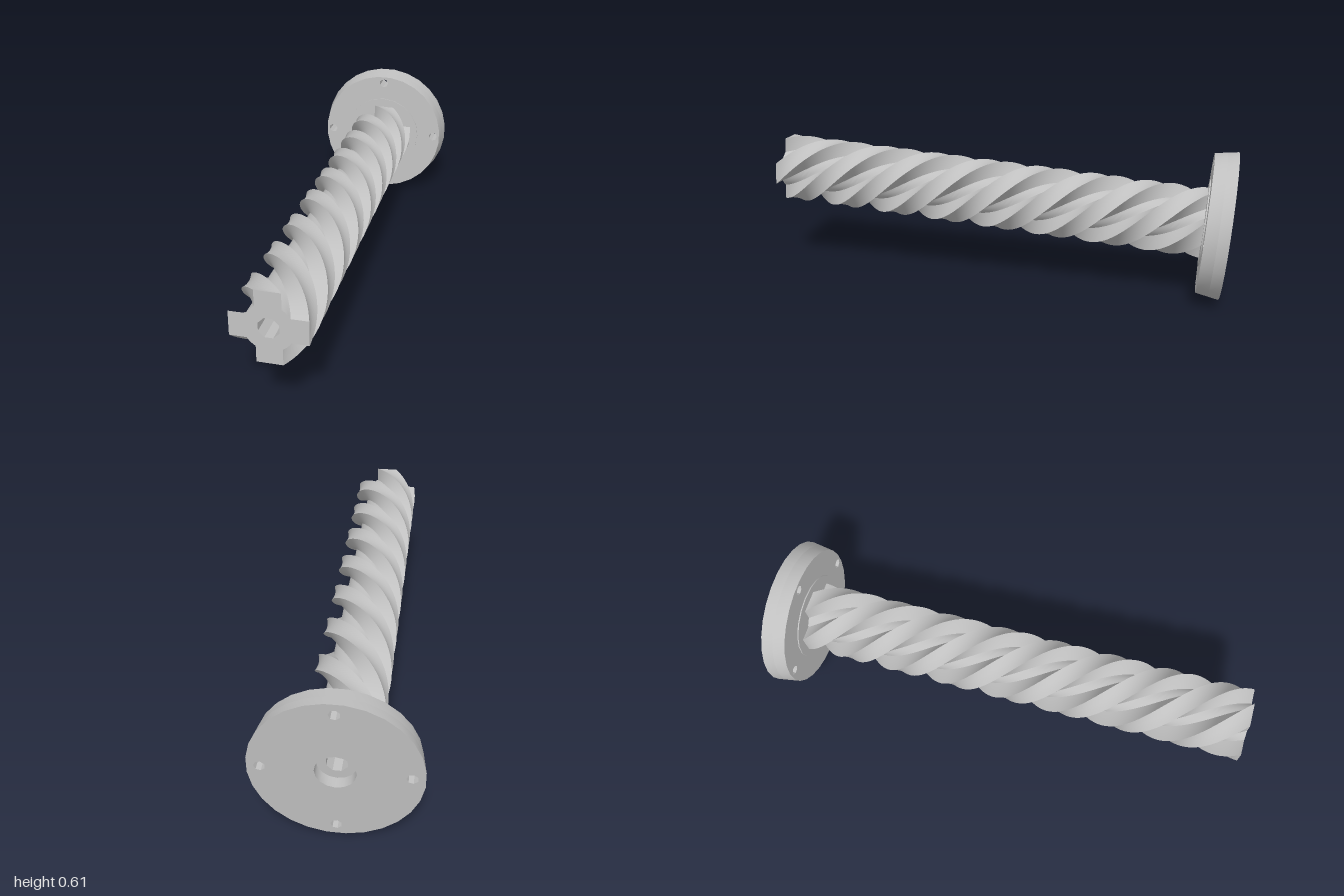
import * as THREE from 'three';
import { toCreasedNormals } from 'three/addons/utils/BufferGeometryUtils.js';

const steel = new THREE.MeshStandardMaterial({ color: 0xc0c0c0 });
steel.name = 'steel grey';

// Regular polygon points around (cx, cy)
function ring(radius, sides, cx = 0, cy = 0, turn = 0) {
  return Array.from({ length: sides }, (_, i) => {
    const a = turn + (i / sides) * Math.PI * 2;
    return new THREE.Vector2(cx + radius * Math.cos(a), cy + radius * Math.sin(a));
  });
}

function extrude(points, holes, z0, z1, steps = 1) {
  const shape = new THREE.Shape(points);
  holes.forEach(h => shape.holes.push(new THREE.Path(h)));
  return new THREE.ExtrudeGeometry(shape, { depth: z1 - z0, steps, bevelEnabled: false }).translate(0, 0, z0);
}

// Moves every vertex by a rule
function reshape(geo, rule) {
  const p = geo.attributes.position, v = new THREE.Vector3();
  for (let i = 0; i < p.count; i++) {
    rule(v.fromBufferAttribute(p, i));
    p.setXYZ(i, v.x, v.y, v.z);
  }
  return geo;
}

// Four-armed cross with a rounded core
function crossProfile() {
  const tip = 0.139, half = 0.047, core = 0.09;
  const inner = Math.asin(half / core);
  const pts = [];
  for (let k = 0; k < 4; k++) {
    const arm = [[tip, -half], [tip, 0], [tip, half]];
    for (let j = 0; j <= 4; j++) {
      const a = inner + (j / 4) * (Math.PI / 2 - 2 * inner);
      arm.push([core * Math.cos(a), core * Math.sin(a)]);
    }
    arm.forEach(([x, y]) =>
      pts.push(new THREE.Vector2(x, y).rotateAround(new THREE.Vector2(), k * Math.PI / 2)));
  }
  return pts;
}

export function createModel() {
  const model = new THREE.Group();
  model.name = 'flangedScrew';
  const back = new THREE.Vector3(0.015, 0.308, -0.963);
  const front = new THREE.Vector3(-0.18, 0.438, 0.981);
  const axis = front.clone().sub(back);
  const length = axis.length();

  // Everything is built along local z, then tilted onto the axis
  const body = new THREE.Group();
  body.name = 'screwBody';
  body.position.copy(back);
  body.quaternion.setFromUnitVectors(new THREE.Vector3(0, 0, 1), axis.normalize());
  model.add(body);

  const add = (name, geo) => {
    const mesh = new THREE.Mesh(toCreasedNormals(geo, 0.4), steel);
    mesh.name = name;
    body.add(mesh);
  };

  const thick = 0.095, floor = 0.045;
  const bore = ring(0.04, 8, 0, 0, Math.PI / 8);
  const boltHoles = ring(0.26, 4).map(c => ring(0.021, 7, c.x, c.y));

  // Flange: slightly tapered disc, counterbored at the back
  const taper = v => {
    if (Math.hypot(v.x, v.y) > 0.29) {
      const s = 1 - 0.05 * v.z / thick;
      v.x *= s;
      v.y *= s;
    }
  };
  const disc = ring(0.307, 28, 0, 0, Math.PI / 28);
  add('flangeBack', reshape(extrude(disc, [ring(0.073, 16), ...boltHoles], 0, floor), taper));
  add('flangeFront', reshape(extrude(disc, [bore, ...boltHoles], floor, thick), taper));
  add('flangeBoss', extrude(ring(0.18, 20), [bore], thick, thick + 0.005));

  // Shaft: the cross makes two left-handed turns, the bore stays straight
  const shaft = extrude(crossProfile(), [bore], thick, length, 160);
  add('twistedShaft', reshape(shaft, v => {
    if (Math.hypot(v.x, v.y) < 0.06) return;
    const a = 4 * Math.PI * (length - v.z) / (length - thick);
    v.applyAxisAngle(new THREE.Vector3(0, 0, 1), a);
  }));
  return model;
}
